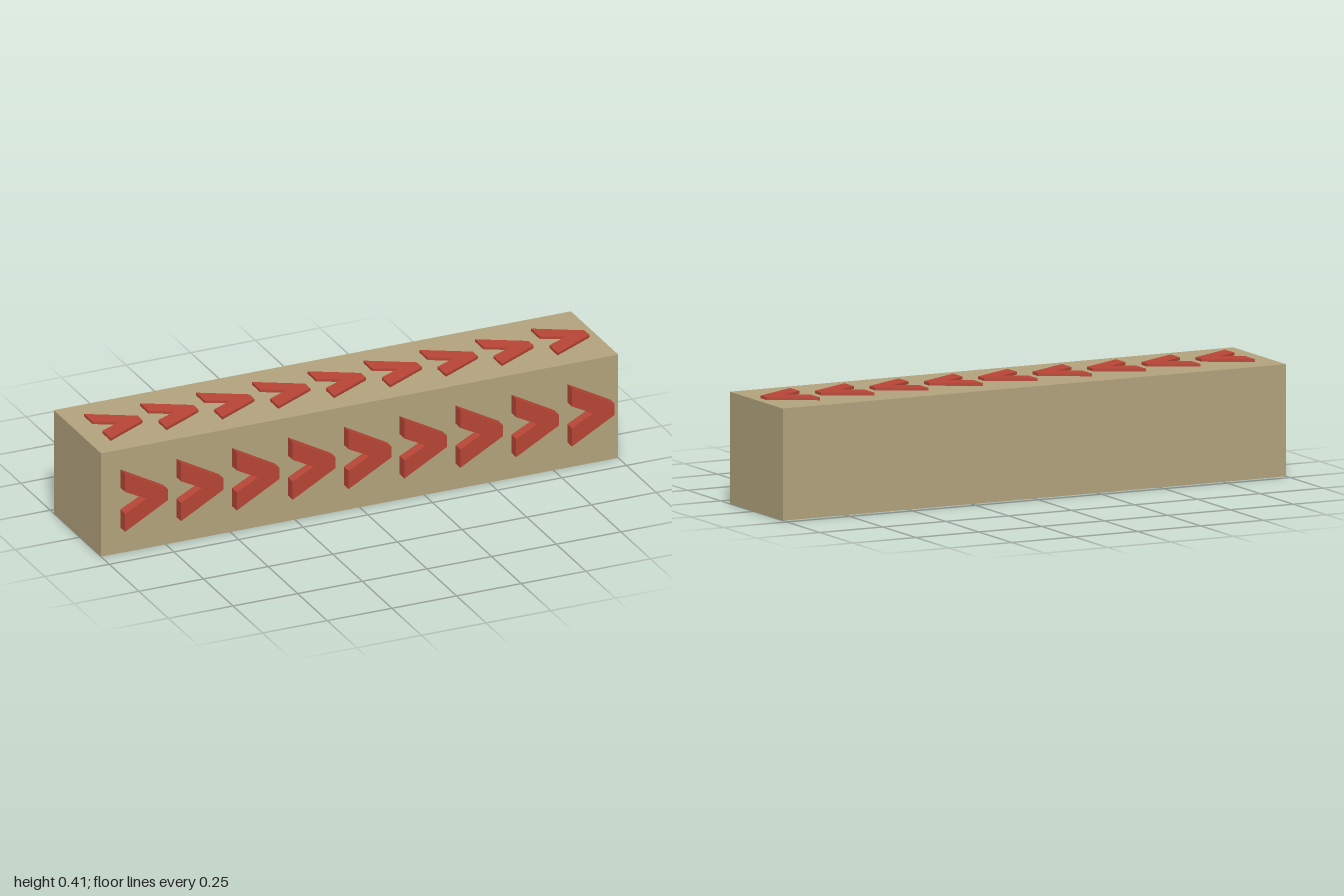
import * as THREE from 'three';

const tan = new THREE.MeshStandardMaterial({ color: 0xb3a47d });
tan.name = 'tan';
const red = new THREE.MeshStandardMaterial({ color: 0xb84636 });
red.name = 'red';

// Blunt-tipped chevron pointing to +x, centred on its height, extruded towards +z
function chevronGeometry(depth) {
  const points = [
    [0, 0.1125], [0, 0.042], [0.082, 0], [0, -0.042],
    [0, -0.1125], [0.165, -0.0215], [0.165, 0.0215],
  ].map(([x, y]) => new THREE.Vector2(x, y));
  return new THREE.ExtrudeGeometry(new THREE.Shape(points), { depth, bevelEnabled: false });
}

// Row of nine evenly spaced chevrons
function chevronRow(name, depth) {
  const row = new THREE.Group();
  row.name = name;
  const geometry = chevronGeometry(depth);
  for (let i = 0; i < 9; i++) {
    const chevron = new THREE.Mesh(geometry, red);
    chevron.name = 'chevron';
    chevron.position.x = -0.925 + i * 0.216;
    row.add(chevron);
  }
  return row;
}

export function createModel() {
  const model = new THREE.Group();
  model.name = 'chevronBarrier';

  // Long block
  const block = new THREE.Mesh(new THREE.BoxGeometry(2, 0.4, 0.4), tan);
  block.name = 'block';
  block.position.set(0, 0.2, -0.02);
  model.add(block);

  // Raised chevrons on the front face
  const front = chevronRow('frontChevrons', 0.04);
  front.position.set(0, 0.211, 0.18);
  model.add(front);

  // Thin chevrons lying on the top face
  const top = chevronRow('topChevrons', 0.01);
  top.rotation.x = -Math.PI / 2;
  top.position.set(0, 0.4, -0.014);
  model.add(top);

  return model;
}
